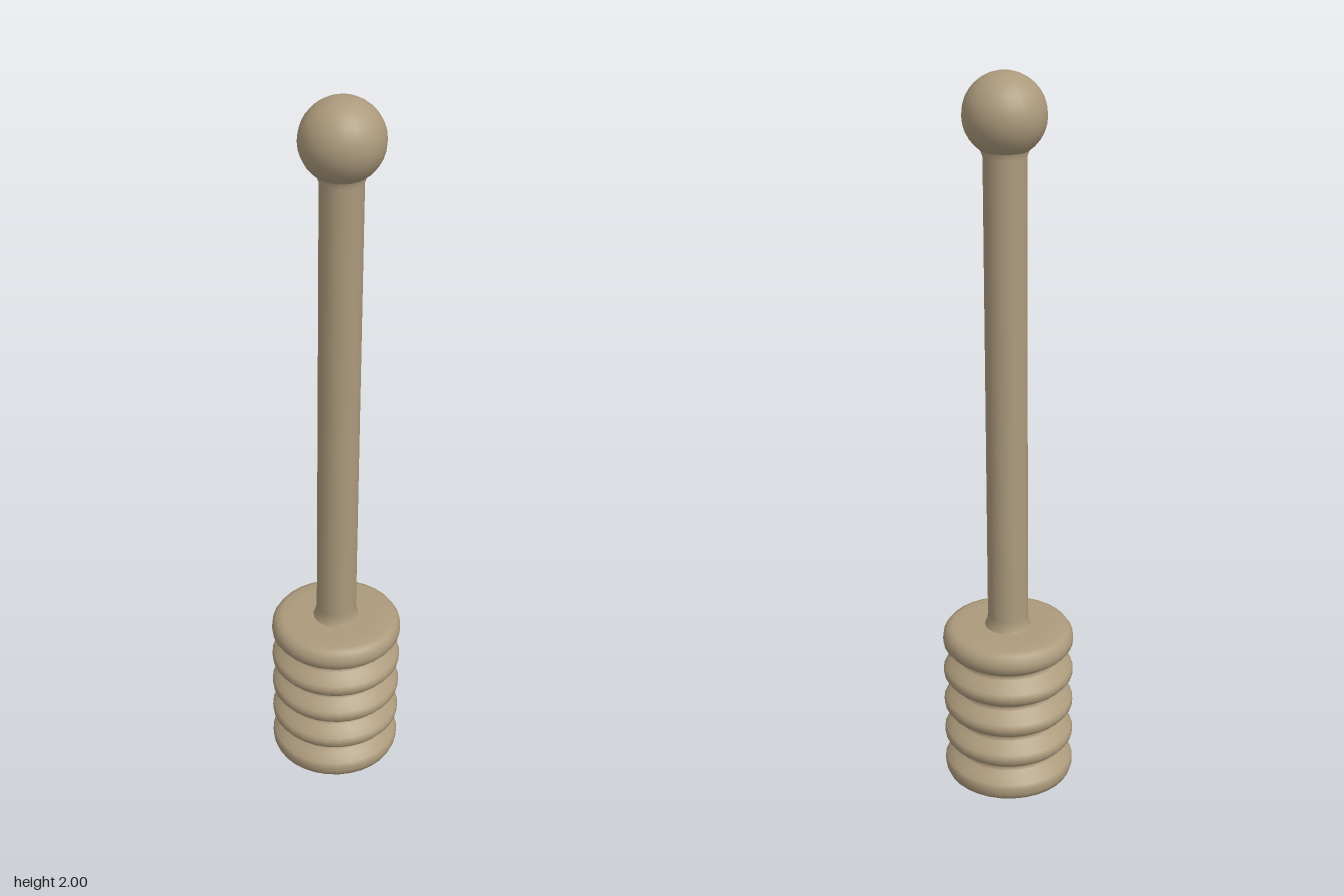
import * as THREE from 'three';

export function createModel() {
  const group = new THREE.Group();
  const wood = new THREE.MeshStandardMaterial({ color: 0xac9a7c });
  wood.name = 'wood';

  // The whole dipper leans slightly forward and to one side as it rises
  const lean = new THREE.Matrix4().set(
    1, -0.008, 0, 0.001,
    0, 1, 0, 0,
    0, 0.02, 1, -0.002,
    0, 0, 0, 1
  );

  const turned = (name, points, segments) => {
    const geometry = new THREE.LatheGeometry(points.map(([r, y]) => new THREE.Vector2(r, y)), segments);
    geometry.applyMatrix4(lean);
    const mesh = new THREE.Mesh(geometry, wood);
    mesh.name = name;
    group.add(mesh);
  };

  // Ribbed head: five rounded rings with narrow grooves between them
  const ringCount = 5, pitch = 0.097, firstRing = 0.046;
  const rings = [[0, 0.004], [0.145, 0.004], [0.162, 0.007], [0.176, 0.017], [0.182, 0.032]];
  for (let i = 0; i < ringCount; i++) {
    const y = firstRing + i * pitch;
    if (i > 0) rings.push([0.173, y - 0.022], [0.182, y - 0.01]);
    rings.push([0.183, y + 0.004]);
    if (i < ringCount - 1) {
      rings.push([0.178, y + 0.015], [0.163, y + 0.029], [0.146, y + 0.042], [0.14, y + 0.05], [0.147, y + 0.058], [0.161, y + 0.067]);
    }
  }
  rings.push([0.181, 0.453], [0.171, 0.468], [0.155, 0.474], [0.12, 0.476], [0, 0.478]);
  turned('ribbedHead', rings, 32);

  // Handle, with a small flare where it meets the head
  turned('handle', [[0.068, 0.472], [0.06, 0.485], [0.056, 0.51], [0.056, 1.1], [0.056, 1.79], [0.065, 1.815]], 20);

  // Round knob, very slightly flattened at the crown
  const knob = [];
  for (let i = 0; i <= 16; i++) {
    const a = -Math.PI / 2 + (i / 16) * Math.PI;
    knob.push([Math.max(0, Math.cos(a) * 0.108), Math.min(2, 1.895 + Math.sin(a) * 0.107)]);
  }
  turned('knob', knob, 24);

  return group;
}
